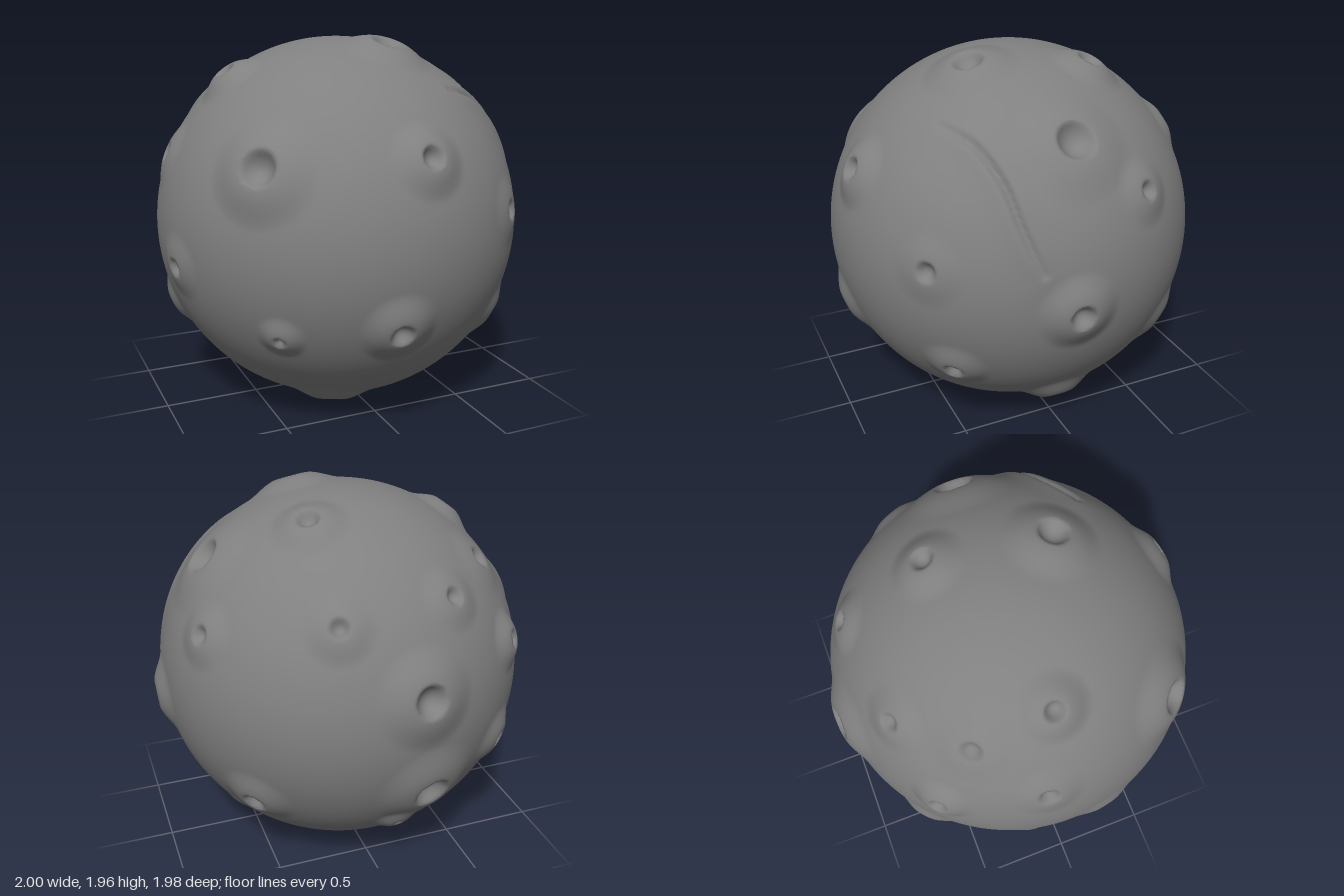
import * as THREE from 'three';
import { mergeVertices } from 'three/addons/utils/BufferGeometryUtils.js';

const RADIUS = 0.975;

// Craters: direction x, y, z from the centre, pit radius, rim height
const CRATERS = [
  // front
  [-0.64, 0.41, 0.62, 0.085, 0.045], [0.1, 0.45, 0.87, 0.055, 0.04],
  [0.67, 0.12, 0.72, 0.05, 0.015], [0.64, -0.46, 0.58, 0.045, 0.03],
  [-0.06, -0.36, 0.91, 0.055, 0.04], [-0.58, -0.4, 0.68, 0.025, 0.03],
  [-0.18, -0.9, 0.36, 0.06, 0.035], [-0.95, -0.13, 0.2, 0.045, 0.02],
  // top
  [0.16, 0.92, 0.28, 0.075, 0.04], [0.26, 0.88, -0.32, 0.055, 0.04],
  [-0.32, 0.58, -0.72, 0.045, 0.025], [-0.61, 0.64, -0.42, 0.055, 0.015],
  [-0.59, 0.78, -0.01, 0.05, 0.045], [0.27, 0.53, -0.78, 0.045, 0.03],
  // right
  [0.72, 0.67, -0.02, 0.095, 0.025], [0.97, -0.1, 0.06, 0.06, 0.045],
  [0.82, 0.4, -0.36, 0.045, 0.025], [0.65, -0.44, -0.59, 0.055, 0.03],
  [0.58, -0.78, -0.02, 0.055, 0.05],
  // left and back
  [-0.89, 0.39, -0.13, 0.05, 0.02], [-0.11, 0.18, -0.95, 0.08, 0.04],
  [-0.7, 0.26, -0.63, 0.042, 0.04], [-0.17, -0.37, -0.89, 0.088, 0.035],
  [-0.62, -0.25, -0.71, 0.045, 0.035], [-0.84, -0.43, -0.2, 0.045, 0.04],
  [-0.06, -0.62, -0.75, 0.025, 0.03],
].map(([x, y, z, pit, rim]) => ({ dir: new THREE.Vector3(x, y, z).normalize(), pit, rim }));

// Crack running down the front right side
const CRACK = new THREE.CatmullRomCurve3([
  [0.4, 0.73, 0.53], [0.58, 0.67, 0.43], [0.75, 0.53, 0.36], [0.86, 0.33, 0.31], [0.94, 0.13, 0.24],
].map((p) => new THREE.Vector3(...p).normalize())).getPoints(50);

// Rounded bowl inside the rim, concave flank outside it
function craterHeight(d, { pit, rim }) {
  const flank = 0.07 + pit * 1.6;
  if (d >= pit + flank) return 0;
  if (d >= pit) {
    const t = (d - pit) / flank;
    return rim * (1 - t * t * (3 - 2 * t));
  }
  const depth = rim * 0.3 + pit * 0.65;
  return rim - depth * Math.pow(1 - (d / pit) ** 2, 0.8);
}

// Narrow groove with a low swollen lip, fading at both ends
function crackHeight(dir) {
  let best = Infinity, at = 0;
  CRACK.forEach((p, i) => {
    const d = p.distanceTo(dir);
    if (d < best) { best = d; at = i / 50; }
  });
  if (best > 0.25) return 0;
  const fade = Math.sin(Math.PI * (0.1 + at * 0.8));
  return fade * (0.02 * Math.exp(-((best / 0.09) ** 2)) - 0.034 * Math.exp(-((best / 0.02) ** 2)));
}

function crateredSphere() {
  let geo = new THREE.IcosahedronGeometry(1, 80);
  geo.deleteAttribute('normal');
  geo.deleteAttribute('uv');
  geo = mergeVertices(geo, 1e-5);
  const pos = geo.attributes.position;
  const dir = new THREE.Vector3();
  for (let i = 0; i < pos.count; i++) {
    dir.fromBufferAttribute(pos, i).normalize();
    let h = crackHeight(dir);
    for (const c of CRATERS) {
      const dot = dir.dot(c.dir);
      if (dot > 0.9) h += craterHeight(Math.acos(Math.min(1, dot)) * RADIUS, c);
    }
    dir.multiplyScalar(RADIUS + h);
    pos.setXYZ(i, dir.x, dir.y, dir.z);
  }
  geo.computeVertexNormals();
  return geo;
}

export function createModel() {
  const group = new THREE.Group();
  group.name = 'crateredMoon';
  const rock = new THREE.MeshStandardMaterial({ color: 0x808080 });
  rock.name = 'grey rock';

  const moon = new THREE.Mesh(crateredSphere(), rock);
  moon.name = 'moonSurface';
  moon.position.set(-0.015, 0.98, 0.015);
  group.add(moon);
  return group;
}
